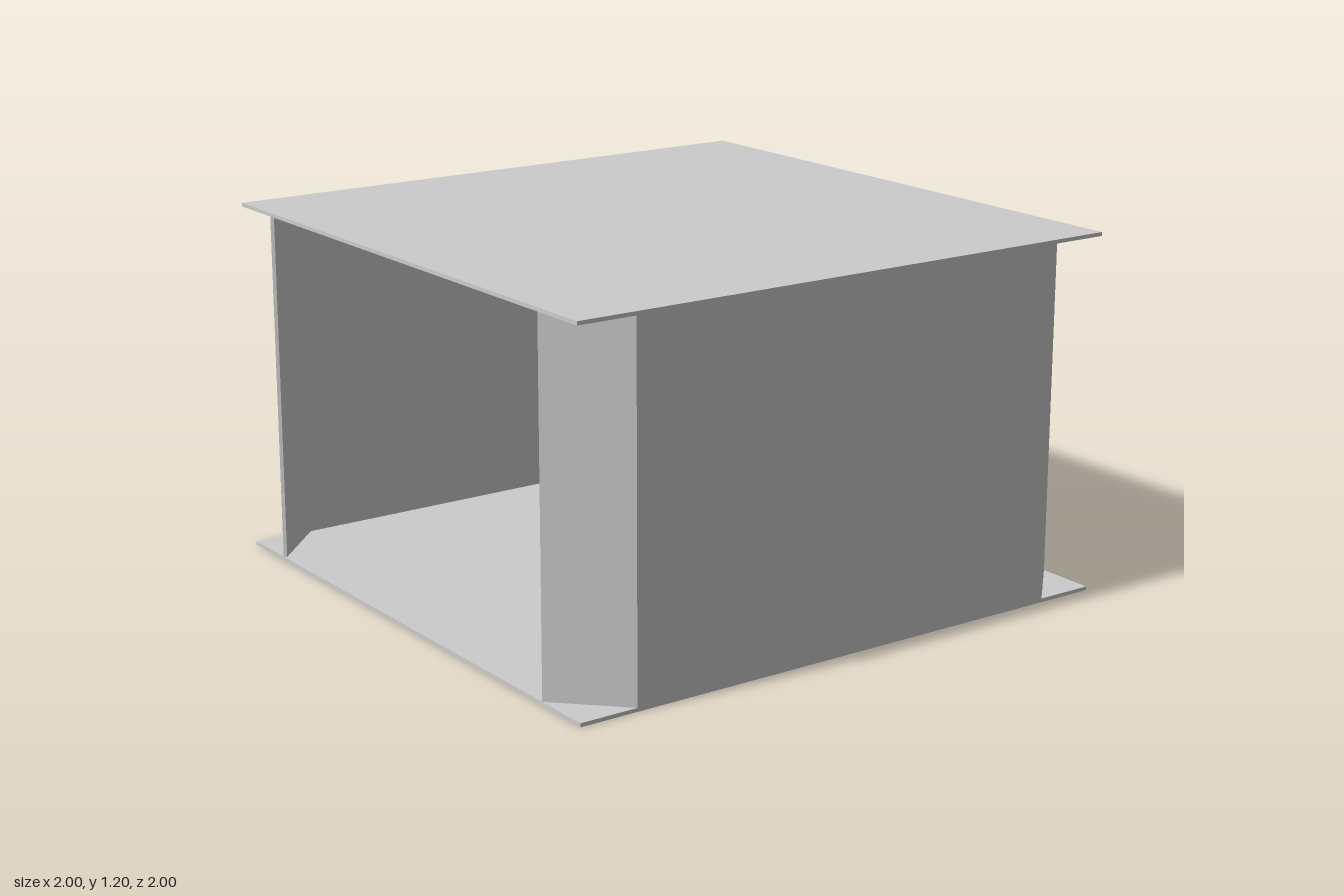
import * as THREE from 'three';

const HEIGHT = 1.2;
const T = 0.0125; // sheet thickness

export function createModel() {
  const model = new THREE.Group();
  model.name = 'openSleeve';
  const grey = new THREE.MeshStandardMaterial({ color: 0xcccccc });
  grey.name = 'light grey';

  // Square floor and roof sheets
  const plateGeometry = new THREE.BoxGeometry(2, T, 2);
  for (const [name, y] of [['floorPlate', T / 2], ['roofPlate', HEIGHT - T / 2]]) {
    const plate = new THREE.Mesh(plateGeometry, grey);
    plate.name = name;
    plate.position.y = y;
    model.add(plate);
  }

  // Side wall with both ends folded inward at 45 degrees, seen in plan
  const d = T * Math.SQRT1_2;
  const fold = 0.8 - T * Math.tan(Math.PI / 8);
  const plan = new THREE.Shape([
    [0.8, -1], [1, -0.8], [1, 0.8], [0.8, 1],
    [0.8 - d, 1 - d], [1 - T, fold], [1 - T, -fold], [0.8 - d, d - 1],
  ].map(([x, y]) => new THREE.Vector2(x, y)));
  const wallGeometry = new THREE.ExtrudeGeometry(plan, { depth: HEIGHT - 2 * T, bevelEnabled: false });
  wallGeometry.rotateX(-Math.PI / 2);

  for (const [name, turn] of [['leftWall', 0], ['rightWall', Math.PI]]) {
    const wall = new THREE.Mesh(wallGeometry, grey);
    wall.name = name;
    wall.position.y = T;
    wall.rotation.y = turn;
    model.add(wall);
  }
  return model;
}
